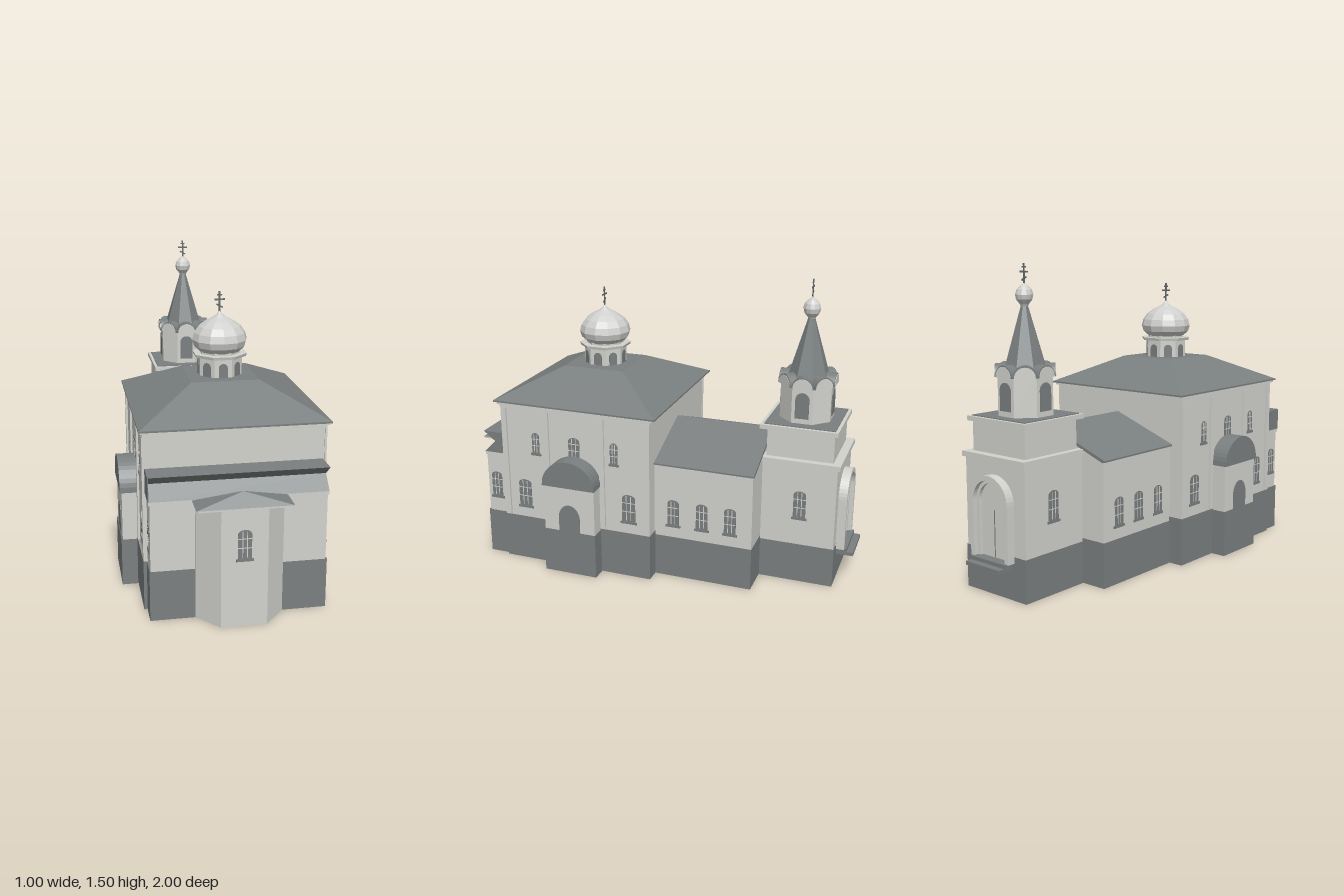
import * as THREE from 'three';

const paint = (name, color) => {
  const m = new THREE.MeshStandardMaterial({ color, flatShading: true, side: THREE.DoubleSide });
  m.name = name;
  return m;
};

export function createModel() {
  const root = new THREE.Group();
  root.name = 'church';
  const wall = paint('pale wall', 0xd2d2cd);
  const dark = paint('grey roof and plinth', 0x7a7f7f);
  const silver = paint('silver dome', 0xcfd0cd);
  const iron = paint('dark iron', 0x666b6c);

  const add = (parent, name, geo, mat, x = 0, y = 0, z = 0, ry = 0) => {
    const m = new THREE.Mesh(geo, mat);
    m.name = name;
    m.position.set(x, y, z);
    m.rotation.y = ry;
    parent.add(m);
    return m;
  };
  // Box given by its extents
  const block = (name, mat, x0, x1, y0, y1, z0, z1, parent = root) =>
    add(parent, name, new THREE.BoxGeometry(x1 - x0, y1 - y0, z1 - z0), mat, (x0 + x1) / 2, (y0 + y1) / 2, (z0 + z1) / 2);
  // Four hollow walls, open above and below
  const shell = (name, mat, x0, x1, y0, y1, z0, z1) => {
    const g = new THREE.CylinderGeometry(Math.SQRT1_2, Math.SQRT1_2, 1, 4, 1, true).rotateY(Math.PI / 4);
    g.scale(x1 - x0, y1 - y0, z1 - z0);
    return add(root, name, g, mat, (x0 + x1) / 2, (y0 + y1) / 2, (z0 + z1) / 2);
  };
  // Box with a smaller top
  const frustum = (w0, d0, w1, d1, h) => {
    const g = new THREE.BoxGeometry(w0, h, d0).translate(0, h / 2, 0);
    const p = g.attributes.position;
    for (let i = 0; i < p.count; i++) {
      if (p.getY(i) > h / 2) p.setXYZ(i, p.getX(i) * w1 / w0, h, p.getZ(i) * d1 / d0);
    }
    g.computeVertexNormals();
    return g;
  };
  // Octagonal prism with a flat side to the front, sized across its flats
  const octagon = (top, bottom, h) => {
    const k = 1 / Math.cos(Math.PI / 8);
    return new THREE.CylinderGeometry(top * k, bottom * k, h, 8).rotateY(Math.PI / 8).translate(0, h / 2, 0);
  };
  const extrude = (shape, depth) => new THREE.ExtrudeGeometry(shape, { depth, bevelEnabled: false, curveSegments: 10 });
  const polygon = pts => new THREE.Shape(pts.map(p => new THREE.Vector2(...p)));
  // Upright opening with an elliptical head
  const arch = (w, h, rise, Kind = THREE.Shape) => {
    const s = new Kind();
    s.moveTo(-w / 2, 0);
    s.lineTo(w / 2, 0);
    s.lineTo(w / 2, h - rise);
    s.absellipse(0, h - rise, w / 2, rise, 0, Math.PI, false);
    s.closePath();
    return s;
  };
  // Glazed window with pale bars and a sill, facing +z before turning
  const addWindow = (x, y, z, ry, w = 0.062, h = 0.14) => {
    const g = new THREE.Group();
    g.name = 'window';
    add(g, 'windowGlass', extrude(arch(w, h, 0.02), 0.003), dark);
    for (const s of [-1, 1]) block('windowMullion', wall, s * w / 6 - 0.002, s * w / 6 + 0.002, 0.006, h - 0.006, 0, 0.004, g);
    for (const k of [0.38, 0.7]) block('windowBar', wall, -w / 2, w / 2, h * k - 0.002, h * k + 0.002, 0, 0.004, g);
    block('windowSill', dark, -w / 2 - 0.008, w / 2 + 0.008, -0.012, 0, 0, 0.005, g);
    g.position.set(x, y, z);
    g.rotation.y = ry;
    root.add(g);
  };
  // Cross with three bars, the lowest slanted
  const addCross = (x, y, z) => {
    const g = new THREE.Group();
    g.name = 'cross';
    block('crossPost', iron, -0.004, 0.004, 0, 0.1, -0.002, 0.002, g);
    block('crossTopBar', iron, -0.012, 0.012, 0.08, 0.087, -0.002, 0.002, g);
    block('crossMainBar', iron, -0.025, 0.025, 0.058, 0.066, -0.002, 0.002, g);
    block('crossFootBar', iron, -0.017, 0.017, 0.028, 0.035, -0.002, 0.002, g).rotation.z = -0.5;
    g.position.set(x, y, z);
    root.add(g);
  };
  const lathe = (pts, n) => new THREE.LatheGeometry(pts.map(p => new THREE.Vector2(...p)), n);

  // Nave with plinth, cornice and hipped roof
  shell('naveWall', wall, -0.41, 0.41, 0.235, 0.86, -0.035, 0.76);
  shell('navePlinth', dark, -0.42, 0.42, 0, 0.24, -0.04, 0.767);
  shell('naveFrieze', wall, -0.418, 0.418, 0.83, 0.846, -0.043, 0.768);
  block('naveCornice', wall, -0.428, 0.428, 0.846, 0.86, -0.055, 0.78);
  add(root, 'naveEaves', new THREE.BoxGeometry(0.868, 0.008, 0.868), dark, 0, 0.862, 0.362);
  add(root, 'naveRoof', frustum(0.868, 0.868, 0.32, 0.32, 0.135), dark, 0, 0.865, 0.362);
  for (const s of [-1, 1]) {
    for (const z of [0.75, 0.515, 0.215, -0.026]) {
      block('navePilaster', wall, s * 0.415 - 0.005, s * 0.415 + 0.005, 0.24, 0.83, z - 0.014, z + 0.014);
    }
    const ry = s * Math.PI / 2;
    for (const z of [0.65, 0.075]) addWindow(s * 0.41, 0.3, z, ry, 0.07, 0.145);
    for (const z of [0.578, 0.15]) addWindow(s * 0.41, 0.6, z, ry, 0.04, 0.11);
    addWindow(s * 0.41, 0.6, 0.365, ry, 0.06, 0.11);
    for (const z of [-0.135, -0.285, -0.43]) addWindow(s * 0.34, 0.285, z, ry, 0.06, 0.135);
    addWindow(s * 0.4, 0.325, 0.82, ry, 0.058, 0.135);
    addWindow(-0.017 + s * 0.193, 0.35, -0.735, ry, 0.062, 0.14);

    // Side porch with barrel roof and arched door
    const span = (a, b) => s > 0 ? [a, b] : [-b, -a];
    shell('porchWall', wall, ...span(0.412, 0.491), 0.23, 0.475, 0.228, 0.502);
    shell('porchPlinth', dark, ...span(0.422, 0.497), 0, 0.235, 0.224, 0.506);
    add(root, 'porchRoof', extrude(arch(0.284, 0.14, 0.135), 0.088), dark, s * 0.412, 0.472, 0.365, ry);
    add(root, 'porchDoor', extrude(arch(0.115, 0.145, 0.07), 0.003), dark, s * 0.49, 0.232, 0.365, ry);
  }

  // Dome drum with arched lights, onion dome
  const domeZ = 0.362;
  add(root, 'domeDrum', octagon(0.1, 0.1, 0.095), wall, 0, 0.998, domeZ);
  add(root, 'drumCornice', octagon(0.122, 0.118, 0.014), wall, 0, 1.088, domeZ);
  add(root, 'domeNeck', octagon(0.09, 0.09, 0.035), wall, 0, 1.1, domeZ);
  for (let i = 0; i < 8; i++) {
    const a = i * Math.PI / 4;
    add(root, 'drumLight', extrude(arch(0.042, 0.066, 0.021), 0.004), dark, Math.sin(a) * 0.099, 1, domeZ + Math.cos(a) * 0.099, a);
  }
  add(root, 'onionDome', lathe([[0, 1.105], [0.095, 1.11], [0.122, 1.135], [0.131, 1.165], [0.122, 1.198], [0.1, 1.228], [0.065, 1.253], [0.03, 1.27], [0.012, 1.285], [0, 1.3]], 12), silver, 0, 0, domeZ);
  addCross(0, 1.29, domeZ);

  // Chancel with its notched lean-to roof
  shell('chancelWall', wall, -0.4, 0.4, 0.235, 0.575, 0.762, 0.87);
  shell('chancelPlinth', dark, -0.405, 0.405, 0, 0.24, 0.768, 0.876);
  shell('chancelCornice', wall, -0.405, 0.405, 0.553, 0.57, 0.762, 0.876);
  add(root, 'chancelRoof', extrude(polygon([[-0.76, 0.57], [-0.76, 0.682], [-0.878, 0.682], [-0.815, 0.632], [-0.878, 0.57]]), 0.81), dark, -0.405, 0, 0, Math.PI / 2);
  block('chancelRoofEnd', dark, -0.408, -0.404, 0.57, 0.682, 0.76, 0.878);

  // Three-sided apse with a low pyramid roof
  const apse = extrude(polygon([[-0.2, -0.87], [-0.2, -0.876], [-0.105, -0.985], [0.105, -0.985], [0.2, -0.876], [0.2, -0.87]]), 0.56);
  add(root, 'apseWall', apse.rotateX(-Math.PI / 2), wall);
  block('apseEaves', wall, -0.21, 0.21, 0.556, 0.566, 0.87, 0.996);
  add(root, 'apseRoof', frustum(0.43, 0.126, 0.002, 0.002, 0.055), dark, 0, 0.566, 0.937);
  addWindow(0, 0.325, 0.985, 0, 0.062, 0.135);

  // Refectory with gabled roof
  shell('refectoryWall', wall, -0.34, 0.34, 0.215, 0.605, -0.54, -0.036);
  shell('refectoryPlinth', dark, -0.345, 0.345, 0, 0.22, -0.542, -0.041);
  add(root, 'refectoryGable', extrude(polygon([[-0.34, 0.6], [0.34, 0.6], [0, 0.733]]), 0.5), wall, 0, 0, -0.54);
  add(root, 'refectoryRoof', extrude(polygon([[-0.353, 0.603], [-0.34, 0.6], [0, 0.728], [0.34, 0.6], [0.353, 0.603], [0.353, 0.611], [0, 0.742], [-0.353, 0.611]]), 0.508), dark, 0, 0, -0.546);

  // Square bell tower stages
  const tx = -0.017, tz = -0.71;
  shell('towerWall', wall, tx - 0.193, tx + 0.193, 0.2, 0.63, -0.912, -0.542);
  shell('towerPlinth', dark, tx - 0.196, tx + 0.196, 0, 0.205, -0.916, -0.543);
  block('towerLowerCornice', wall, tx - 0.204, tx + 0.204, 0.625, 0.65, -0.926, -0.535);
  block('towerMiddleStage', wall, tx - 0.17, tx + 0.17, 0.65, 0.795, -0.885, -0.555);
  block('towerUpperCornice', wall, tx - 0.188, tx + 0.188, 0.79, 0.812, -0.903, -0.52);
  block('towerCorniceRoof', dark, tx - 0.172, tx + 0.172, 0.812, 0.816, -0.887, -0.537);

  // Octagonal belfry with four louvred openings and a ring of rounded gables
  add(root, 'belfryWall', octagon(0.125, 0.125, 0.195), wall, tx, 0.815, tz);
  for (let i = 0; i < 8; i++) {
    const a = i * Math.PI / 4, sx = Math.sin(a), cz = Math.cos(a);
    if (i % 2 === 0) add(root, 'belfryOpening', extrude(arch(0.068, 0.13, 0.034), 0.006), dark, tx + sx * 0.124, 0.842, tz + cz * 0.124, a);
    add(root, 'belfryGableRoof', extrude(arch(0.106, 0.056, 0.052), 0.076), dark, tx + sx * 0.062, 0.995, tz + cz * 0.062, a);
    add(root, 'belfryGableFace', extrude(arch(0.096, 0.05, 0.046), 0.003), wall, tx + sx * 0.137, 0.995, tz + cz * 0.137, a);
  }
  add(root, 'spire', octagon(0.014, 0.1, 0.31), dark, tx, 1.01, tz);
  add(root, 'spireBall', lathe([[0.014, 1.305], [0.022, 1.32], [0.038, 1.34], [0.043, 1.362], [0.036, 1.385], [0.02, 1.402], [0, 1.415]], 12), silver, tx, 0, tz);
  addCross(tx, 1.402, tz);

  // Arched west portal and its step
  const ring = (w, h, t) => {
    const s = arch(w, h, w / 2);
    s.holes.push(arch(w - 2 * t, h - t, w / 2 - t, THREE.Path));
    return s;
  };
  add(root, 'portalOuterFrame', extrude(ring(0.246, 0.39, 0.022), 0.044), wall, tx, 0.175, -0.911, Math.PI);
  add(root, 'portalInnerFrame', extrude(ring(0.202, 0.368, 0.016), 0.022), wall, tx, 0.175, -0.911, Math.PI);
  add(root, 'portalDoor', extrude(arch(0.17, 0.352, 0.085), 0.006), wall, tx, 0.175, -0.911, Math.PI);
  block('portalDoorSeam', dark, tx - 0.002, tx + 0.002, 0.18, 0.4, -0.919, -0.915);
  block('portalStep', dark, tx - 0.11, tx + 0.11, 0.142, 0.16, -1, -0.91);
  block('portalSill', dark, tx - 0.115, tx + 0.115, 0.16, 0.178, -0.967, -0.91);

  return root;
}
